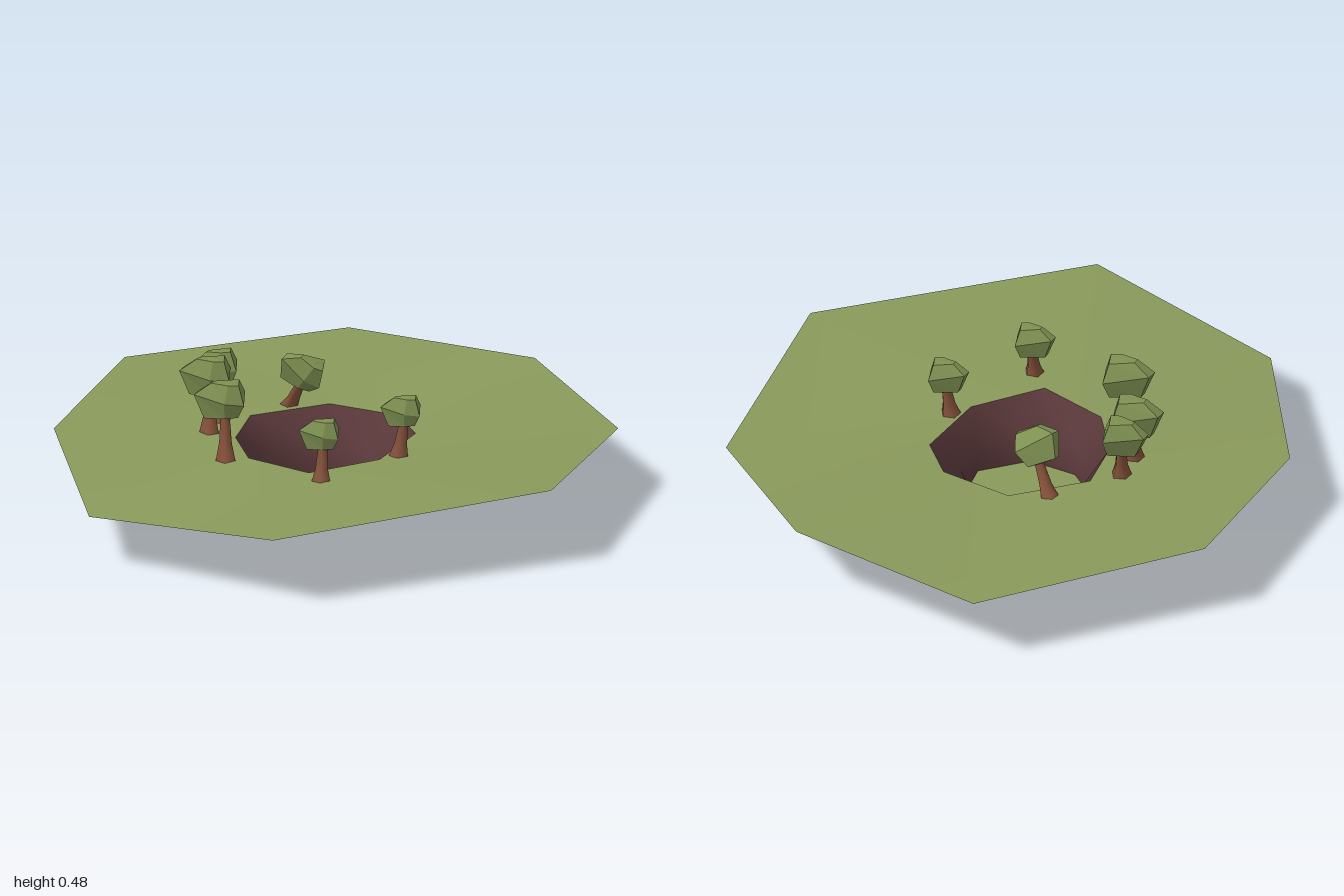
import * as THREE from 'three';

const material = (color, flatShading = false) =>
  new THREE.MeshStandardMaterial({ color, flatShading, side: THREE.DoubleSide });
const GRASS = material(0x8a9a5b);
const ROCK = material(0x5a383a);
const BARK = material(0x84503a);
const LEAF = material(0x7f9152, true);

// Skin between successive rings of [x, y, z] points, all of equal length
function loft(rings) {
  const n = rings[0].length;
  const index = [];
  for (let r = 0; r < rings.length - 1; r++) {
    for (let i = 0; i < n; i++) {
      const j = (i + 1) % n;
      const a = r * n + i, b = r * n + j;
      index.push(a, b, a + n, b, b + n, a + n);
    }
  }
  const geometry = new THREE.BufferGeometry();
  geometry.setAttribute('position', new THREE.Float32BufferAttribute(rings.flat(2), 3));
  geometry.setIndex(index);
  geometry.computeVertexNormals();
  return geometry;
}

function addMesh(parent, name, geometry, mat) {
  const mesh = new THREE.Mesh(geometry, mat);
  mesh.name = name;
  parent.add(mesh);
  return mesh;
}

// Land outline, crater rim and pit outline, all running the same way round
const OUTER = [[0, 0.275, -1], [0.6, 0.225, -0.8], [0.98, 0.275, -0.1], [0.61, 0.245, 0.86],
  [-0.13, 0.178, 1], [-0.71, 0.245, 0.59], [-0.98, 0.278, -0.02], [-0.7, 0.255, -0.81]];
const RIM = [[0, 0.235, -0.345], [0.16, 0.23, -0.27], [0.25, 0.225, -0.01], [0.175, 0.225, 0.255],
  [-0.08, 0.222, 0.288], [-0.25, 0.225, 0.18], [-0.36, 0.23, 0], [-0.25, 0.232, -0.27]];
const PIT = [[-0.04, -0.24], [0.1, -0.175], [0.19, -0.03], [0.12, 0.145],
  [-0.04, 0.205], [-0.185, 0.16], [-0.265, -0.005], [-0.18, -0.175]];
const PATCH = [[-0.18, 0.015], [-0.065, 0], [-0.085, 0.095]];

// Flat shape on the ground from [x, z] points
const toShape = pts => pts.map(([x, z]) => new THREE.Vector2(x, -z));
function flat(points, hole) {
  const shape = new THREE.Shape(toShape(points));
  if (hole) shape.holes.push(new THREE.Path(toShape(hole)));
  return new THREE.ShapeGeometry(shape).rotateX(-Math.PI / 2).translate(0, 0.004, 0);
}

// Lopsided five-cornered crown
const CROWN = [[0.005, -0.09], [0.085, -0.005], [0.04, 0.045], [-0.07, 0.08], [-0.085, 0.04]];
function crownGeometry() {
  // height, scale, x shift, lift along x
  const rows = [[0.07, 0, 0.015, 0], [0.068, 0.55, 0.015, 0], [0.015, 1, 0, -0.15],
    [-0.05, 0.68, 0, 0.08], [-0.058, 0, 0, 0]];
  return loft(rows.map(([y, s, dx, lift]) =>
    CROWN.map(([x, z]) => [x * s + dx, y + x * lift, z * s])));
}

// Curved trunk, flared at the root
function trunkGeometry(base, top) {
  const a = new THREE.Vector3(...base), b = new THREE.Vector3(...top);
  const middle = new THREE.Vector3(a.x * 0.35 + b.x * 0.65, (a.y + b.y) / 2, a.z * 0.35 + b.z * 0.65);
  const curve = new THREE.QuadraticBezierCurve3(a, middle, b);
  const rows = [[1, 0.022], [0.65, 0.018], [0.3, 0.023], [0, 0.036]];
  return loft(rows.map(([t, r]) => {
    const p = curve.getPoint(t);
    return Array.from({ length: 5 }, (_, i) => {
      const angle = i / 5 * Math.PI * 2;
      return [p.x + r * Math.sin(angle), p.y, p.z - r * Math.cos(angle)];
    });
  }));
}

// Trunk foot, crown centre, crown size [width, height], lean
const TREES = [
  { base: [-0.35, 0.225, -0.17], crown: [-0.25, 0.375, -0.15], size: [0.9, 1], lean: -0.6 },
  { base: [0.265, 0.22, -0.085], crown: [0.275, 0.375, -0.105], size: [0.78, 0.85], lean: 0 },
  { base: [0.27, 0.22, 0.29], crown: [0.245, 0.375, 0.255], size: [0.78, 0.85], lean: 0 },
  { base: [-0.13, 0.215, 0.345], crown: [-0.165, 0.41, 0.315], size: [1, 1.05], lean: 0 },
  { base: [-0.345, 0.225, 0.21], crown: [-0.37, 0.41, 0.18], size: [1, 1.05], lean: 0 },
  { base: [-0.4, 0.23, 0.105], crown: [-0.425, 0.4, 0.08], size: [0.88, 1], lean: 0.1 },
];

export function createModel() {
  const model = new THREE.Group();
  model.name = 'craterIsland';

  // Land and crater
  addMesh(model, 'grassLand', loft([RIM, OUTER]), GRASS);
  const wallRow = (y, s) => PIT.map(([x, z]) => [x * s, y, z * s]);
  addMesh(model, 'craterWall', loft([wallRow(0, 1), wallRow(0.11, 1.02), RIM]), ROCK);
  addMesh(model, 'craterFloor', flat(PIT, PATCH), GRASS);
  addMesh(model, 'rockPatch', flat(PATCH), ROCK);

  // Trees around the rim
  for (const { base, crown, size, lean } of TREES) {
    const tree = new THREE.Group();
    tree.name = 'tree';
    addMesh(tree, 'trunk', trunkGeometry(base, crown), BARK);
    const top = addMesh(tree, 'crown', crownGeometry(), LEAF);
    top.position.set(...crown);
    top.scale.set(size[0], size[1], size[0]);
    top.rotation.z = lean;
    model.add(tree);
  }
  return model;
}
